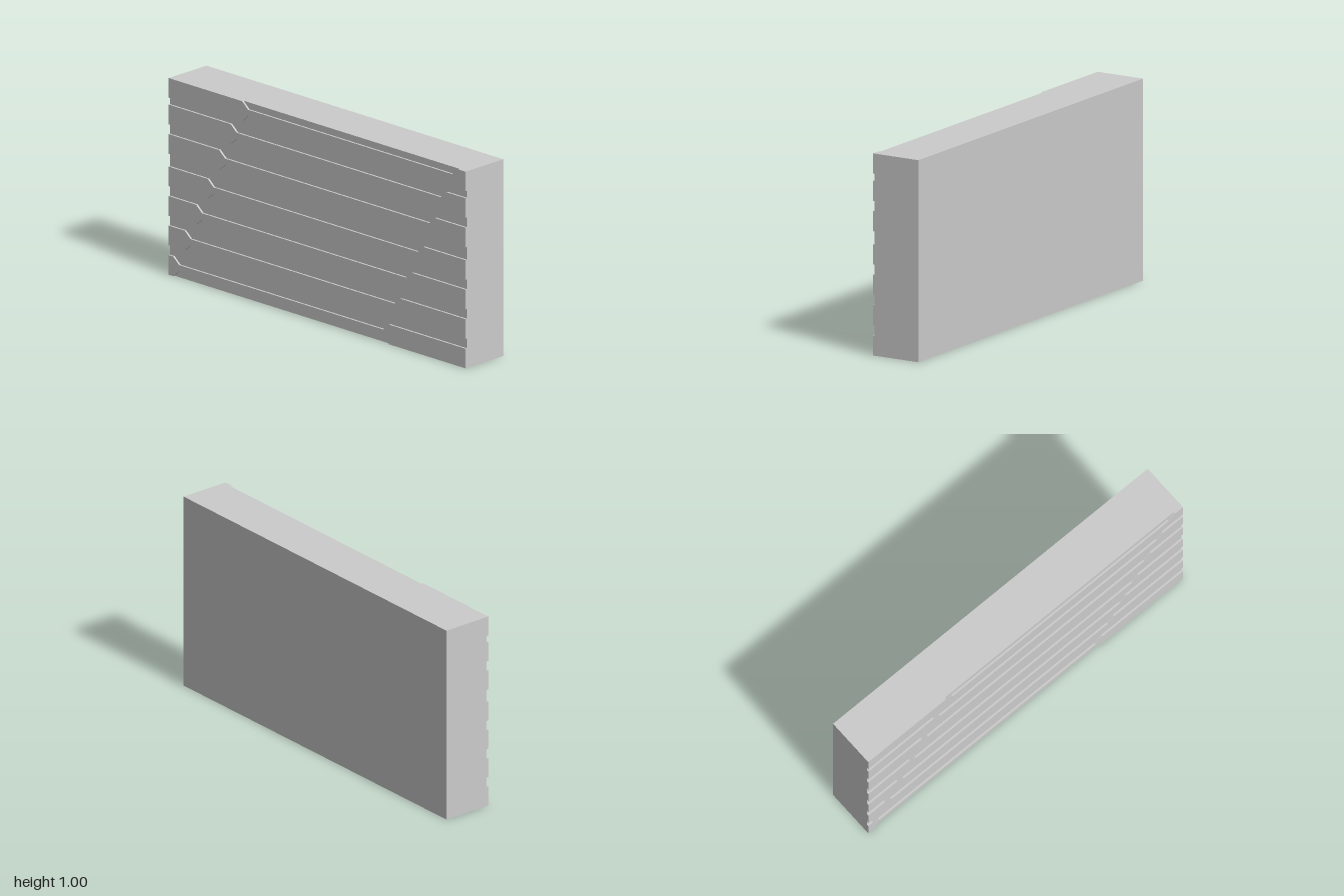
import * as THREE from 'three';

const WALL_X = -0.12;   // recessed wall behind the raised panels
const RELIEF = 0.01;    // panel thickness
const RIB = 0.016;      // half height of the thin middle rib
const CHAMFER = 0.04;   // length of the sloped shoulders

// Raised strip: two wide ends joined by a narrow rib, drawn in (z, y)
function stripGeometry(y0, y1, backEnd, frontEnd) {
  const mid = (y0 + y1) / 2;
  const outline = [
    [-1, y0], [backEnd, y0], [backEnd + CHAMFER, mid - RIB],
    [frontEnd - CHAMFER, mid - RIB], [frontEnd, y0], [1, y0],
    [1, y1], [frontEnd, y1], [frontEnd - CHAMFER, mid + RIB],
    [backEnd + CHAMFER, mid + RIB], [backEnd, y1], [-1, y1],
  ];
  const shape = new THREE.Shape(outline.map(([z, y]) => new THREE.Vector2(z, y)));
  const geo = new THREE.ExtrudeGeometry(shape, { depth: RELIEF, bevelEnabled: false });
  geo.rotateY(-Math.PI / 2);
  geo.translate(WALL_X, 0, 0);
  return geo;
}

export function createModel() {
  const group = new THREE.Group();
  group.name = 'wallPanel';
  const material = new THREE.MeshStandardMaterial({ color: 0xcccccc, side: THREE.DoubleSide });

  // Hollow body, open underneath
  const shell = new THREE.BoxGeometry(0.13 - WALL_X, 1, 2);
  const index = Array.from(shell.index.array);
  index.splice(18, 6); // drop the bottom face
  shell.setIndex(index);
  shell.clearGroups();
  shell.translate((0.13 + WALL_X) / 2, 0.5, 0);
  const body = new THREE.Mesh(shell, material);
  body.name = 'hollowBody';
  group.add(body);

  // Strips from top to bottom, each stepped back along z
  const strips = new THREE.Group();
  strips.name = 'raisedStrips';
  const rows = [
    [0.9, 1], [0.765, 0.865], [0.615, 0.715], [0.45, 0.55],
    [0.3, 0.4], [0.15, 0.25], [0, 0.1],
  ];
  rows.forEach(([y0, y1], i) => {
    const step = i * 0.0775;
    const strip = new THREE.Mesh(stripGeometry(y0, y1, -0.505 - step, 0.95 - step), material);
    strip.name = `raisedStrip${i + 1}`;
    strips.add(strip);
  });
  group.add(strips);
  return group;
}
